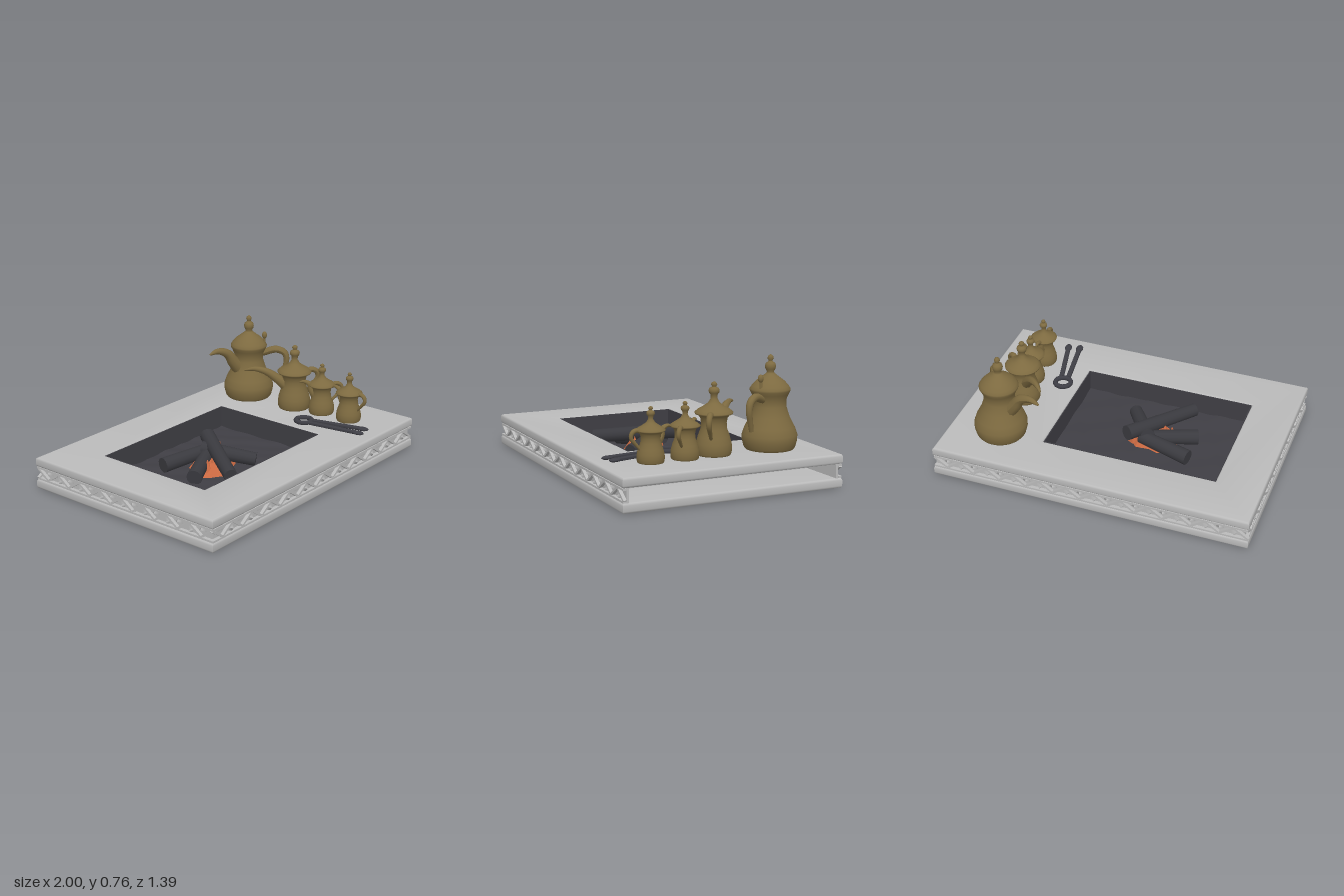
import * as THREE from 'three';
import { mergeGeometries, toCreasedNormals } from 'three/addons/utils/BufferGeometryUtils.js';
import { RoundedBoxGeometry } from 'three/addons/geometries/RoundedBoxGeometry.js';

const material = (name, color, extra = {}) => Object.assign(new THREE.MeshStandardMaterial({ color, ...extra }), { name });
const V = (x, y, z) => new THREE.Vector3(x, y, z);
const PIT = { x0: -0.71, x1: 0.39, z0: -0.4, z1: 0.39 };

export function createModel() {
  const stone = material('stone grey', 0xbababa);
  const soot = material('soot', 0x3f3e44, { side: THREE.DoubleSide });
  const ash = material('ash grey', 0x545456);
  const charcoal = material('charcoal', 0x3a3a3f);
  const ember = material('ember orange', 0xcc6a42, { flatShading: true });
  const brass = material('aged brass', 0x7d6a40, { side: THREE.DoubleSide });
  const iron = material('iron', 0x3e3e45);

  const model = new THREE.Group();
  const add = (parent, name, geometry, mat) => {
    const mesh = new THREE.Mesh(geometry, mat);
    mesh.name = name;
    parent.add(mesh);
    return mesh;
  };

  // Flat outline raised from y0 to y1 with a soft edge
  const slab = (points, y0, y1, bevel, hole = true) => {
    const shape = new THREE.Shape(points.map(([x, z]) => new THREE.Vector2(x, -z)));
    if (hole) {
      shape.holes.push(new THREE.Path([
        [PIT.x0, PIT.z0], [PIT.x0, PIT.z1], [PIT.x1, PIT.z1], [PIT.x1, PIT.z0],
      ].map(([x, z]) => new THREE.Vector2(x, -z))));
    }
    const geo = new THREE.ExtrudeGeometry(shape, {
      depth: y1 - y0 - 2 * bevel, bevelEnabled: bevel > 0, bevelThickness: bevel,
      bevelSize: bevel, bevelOffset: -bevel, bevelSegments: 3,
    });
    geo.rotateX(-Math.PI / 2).translate(0, y0 + bevel, 0);
    return toCreasedNormals(geo, 0.6);
  };
  const rect = (w, d) => [[-w, d], [w, d], [w, -d], [-w, -d]];

  // Hearth: two slabs around a core that is open on one end
  const hearth = new THREE.Group();
  hearth.name = 'hearth';
  model.add(hearth);
  add(hearth, 'lowerSlab', slab(rect(1, 0.695), 0.002, 0.062, 0.014), stone);
  add(hearth, 'upperSlab', slab(rect(1, 0.695), 0.144, 0.203, 0.014), stone);
  add(hearth, 'core', slab([
    [-0.97, 0.67], [0.992, 0.67], [0.992, 0.655], [0.7, 0.64],
    [0.7, -0.64], [0.992, -0.655], [0.992, -0.67], [-0.97, -0.67],
  ], 0.055, 0.15, 0), stone);

  // Carved band: zigzag ribs with small pyramids between two rails
  const carvedBand = (length) => {
    const parts = [];
    for (const y of [0.068, 0.138]) parts.push(new THREE.BoxGeometry(length, 0.012, 0.022).translate(0, y, 0));
    const count = Math.round(length / 0.085), step = length / count;
    const rib = Math.hypot(step, 0.06);
    for (let i = 0; i < count; i++) {
      const up = i % 2 ? 1 : -1, x = -length / 2 + step * (i + 0.5);
      parts.push(new THREE.BoxGeometry(rib, 0.013, 0.02).rotateZ(up * Math.atan2(0.06, step)).translate(x, 0.103, 0));
      if (i < count - 1) {
        const gem = new THREE.ConeGeometry(0.03, 0.024, 3).rotateX(Math.PI / 2).rotateZ(up > 0 ? 0 : Math.PI);
        parts.push(gem.translate(x + step / 2, 0.103 - up * 0.014, 0));
      }
    }
    return mergeGeometries(parts);
  };
  for (const s of [-1, 1]) {
    const side = add(hearth, s > 0 ? 'frontCarving' : 'backCarving', carvedBand(1.99), stone);
    side.position.z = s * 0.681;
    if (s < 0) side.rotation.y = Math.PI;
  }
  const end = add(hearth, 'endCarving', carvedBand(1.375), stone);
  end.position.x = -0.984;
  end.rotation.y = -Math.PI / 2;

  // Sooty fire pit: walls, bumpy floor, ragged patch underneath
  const pit = new THREE.Group();
  pit.name = 'firePit';
  model.add(pit);
  const w = PIT.x1 - PIT.x0, d = PIT.z1 - PIT.z0, cx = (PIT.x0 + PIT.x1) / 2, cz = (PIT.z0 + PIT.z1) / 2;
  for (const s of [-1, 1]) {
    add(pit, 'pitWall', new THREE.BoxGeometry(w, 0.194, 0.006).translate(cx, 0.101, cz + s * (d / 2 - 0.003)), soot);
    add(pit, 'pitWall', new THREE.BoxGeometry(0.006, 0.194, d).translate(cx + s * (w / 2 - 0.003), 0.101, cz), soot);
  }
  const floor = new THREE.PlaneGeometry(w, d, 40, 30).rotateX(-Math.PI / 2).translate(cx, 0.06, cz);
  const fp = floor.attributes.position;
  for (let i = 0; i < fp.count; i++) {
    const x = fp.getX(i), z = fp.getZ(i);
    fp.setY(i, 0.06 + 0.004 * Math.sin(17 * x + 5 * z) * Math.cos(19 * z - 4 * x) + 0.003 * Math.sin(41 * x - 23 * z));
  }
  floor.computeVertexNormals();
  add(pit, 'pitFloor', floor, soot);
  const ragged = [];
  for (let i = 0; i < 64; i++) {
    const a = -i / 64 * Math.PI * 2, c = Math.cos(a), s = Math.sin(a);
    const k = 1 / Math.pow(c ** 8 + s ** 8, 1 / 8);
    const wob = 1.05 + 0.025 * Math.sin(7 * a) + 0.02 * Math.sin(13 * a + 1) + 0.012 * Math.sin(23 * a);
    ragged.push([cx + c * k * wob * w / 2, cz + s * k * wob * d / 2]);
  }
  add(pit, 'undersidePatch', slab(ragged, 0, 0.006, 0, false), ash);

  // Crossed logs over embers
  const fire = new THREE.Group();
  fire.name = 'campfire';
  model.add(fire);
  const logs = [
    [V(-0.46, 0.12, -0.155), V(-0.13, 0.14, -0.075)],
    [V(-0.06, 0.195, -0.14), V(-0.36, 0.14, 0.295)],
    [V(-0.18, 0.16, -0.09), V(0, 0.105, 0.2)],
    [V(-0.45, 0.1, 0.085), V(-0.15, 0.13, -0.06)],
  ];
  for (const [a, b] of logs) {
    const geo = new THREE.CylinderGeometry(0.042, 0.048, a.distanceTo(b), 12, 4);
    const log = add(fire, 'log', geo, charcoal);
    log.position.copy(a).lerp(b, 0.5);
    log.quaternion.setFromUnitVectors(V(0, 1, 0), b.clone().sub(a).normalize());
  }
  const embers = new THREE.CylinderGeometry(0.1, 0.155, 0.07, 20, 2);
  const ep = embers.attributes.position;
  for (let i = 0; i < ep.count; i++) {
    const a = Math.atan2(ep.getZ(i), ep.getX(i)), k = 1 + 0.1 * Math.sin(5 * a) + 0.06 * Math.cos(3 * a);
    ep.setX(i, ep.getX(i) * k);
    ep.setZ(i, ep.getZ(i) * k * 0.82);
  }
  add(fire, 'embers', embers, ember).position.set(-0.19, 0.092, 0.02);
  for (const [x, z, h] of [[-0.29, 0.055, 0.1], [-0.16, 0.1, 0.1], [-0.07, -0.03, 0.13], [-0.065, 0.01, 0.11], [-0.24, 0.06, 0.12]]) {
    add(fire, 'flame', new THREE.ConeGeometry(0.04, h, 6), ember).position.set(x, 0.06 + h / 2, z);
  }

  // Tube whose thickness follows a rule along its path
  const taperedTube = (points, radius) => {
    const curve = new THREE.CatmullRomCurve3(points.map(([x, y]) => V(x, y, 0)));
    const rows = 24, sides = 10, geo = new THREE.TubeGeometry(curve, rows, 1, sides);
    const p = geo.attributes.position, v = V(0, 0, 0);
    for (let i = 0; i < p.count; i++) {
      const t = Math.floor(i / (sides + 1)) / rows, c = curve.getPointAt(t);
      v.fromBufferAttribute(p, i).sub(c).multiplyScalar(radius(t)).add(c);
      p.setXYZ(i, v.x, v.y, v.z);
    }
    geo.computeVertexNormals();
    return geo;
  };

  // Coffee pots, drawn one unit tall and scaled
  const finial = (k) => [[0.036, 0.82], [0.052, 0.845], [0.058, 0.875], [0.05, 0.905], [0.022, 0.925], [0.022, 0.935],
    [0.033, 0.955], [0.026, 0.98], [0, 1]].map(([r, y]) => [r * k, y]);
  const wide = [[0, 0], [0.25, 0], [0.272, 0.03], [0.29, 0.1], [0.29, 0.16], [0.262, 0.24], [0.205, 0.35], [0.17, 0.46], [0.172, 0.53],
    [0.195, 0.585], [0.213, 0.62], [0.213, 0.64], [0.195, 0.67], [0.15, 0.72], [0.09, 0.765], [0.045, 0.8], ...finial(1)];
  const slim = [[0, 0], [0.225, 0], [0.24, 0.03], [0.248, 0.1], [0.24, 0.17], [0.215, 0.26], [0.18, 0.36], [0.172, 0.44], [0.185, 0.51],
    [0.215, 0.55], [0.255, 0.565], [0.26, 0.585], [0.22, 0.62], [0.15, 0.66], [0.08, 0.71], [0.045, 0.77], ...finial(1.3)];
  const turn = ([x, z]) => Math.atan2(-z, x);
  const pots = [
    { x: 0.67, z: -0.395, h: 0.562, profile: wide, spout: [-0.3, -0.09], reach: 0.55, handle: [0.14, 0.22], grip: 0.45, foot: 0.4 },
    { x: 0.68, z: -0.02, h: 0.43, profile: slim, spout: [-0.22, -0.24], reach: 0.76, handle: [0.13, 0.1], grip: 0.37, foot: 0.2 },
    { x: 0.71, z: 0.18, h: 0.337, profile: slim, spout: [-0.085, -0.115], reach: 0.43, handle: [0.1, 0.09], grip: 0.39, foot: 0.2 },
    { x: 0.71, z: 0.395, h: 0.325, profile: slim, spout: [0, -1], reach: 0.4, handle: [0, 1], grip: 0.37, foot: 0.2 },
  ];
  for (const p of pots) {
    const pot = new THREE.Group();
    pot.name = 'coffeePot';
    pot.position.set(p.x, 0.2, p.z);
    pot.scale.setScalar(p.h);
    model.add(pot);
    const outline = p.profile.map(([r, y]) => new THREE.Vector2(r, y));
    add(pot, 'potBody', new THREE.LatheGeometry(outline, 36), brass);
    const r = p.reach;
    // Beak-shaped spout that arches out and droops at the tip
    add(pot, 'spout', taperedTube(
      [[0.12, 0.34], [0.13 + r * 0.16, 0.46], [r * 0.55, 0.575], [r * 0.8, 0.63], [r, 0.61]],
      (t) => 0.01 + 0.075 * Math.pow(1 - t, 0.7),
    ), brass).rotation.y = turn(p.spout);
    const g = p.grip;
    add(pot, 'handle', taperedTube(
      [[0.14, 0.53], [g * 0.72, 0.59], [g * 0.95, 0.55], [g, 0.46], [(g + p.foot) / 2, 0.35], [p.foot, 0.25]],
      (t) => 0.024 + 0.018 * Math.sin(Math.PI * Math.sqrt(t)),
    ), brass).rotation.y = turn(p.handle);
  }
  // Thumb piece on the largest pot
  add(model, 'thumbPiece', new THREE.CylinderGeometry(0.008, 0.012, 0.08, 10).translate(0.72, 0.58, -0.305), brass);
  add(model, 'thumbKnob', new THREE.SphereGeometry(0.017, 14, 10).scale(1, 1.4, 1).translate(0.72, 0.63, -0.302), brass);

  // Fire tongs lying on the slab
  const tongs = new THREE.Group();
  tongs.name = 'fireTongs';
  model.add(tongs);
  add(tongs, 'tongsRing', new THREE.TorusGeometry(0.05, 0.016, 8, 24).rotateX(Math.PI / 2).translate(0.5, 0.213, 0.195), iron);
  for (const [x0, x1, z1] of [[0.485, 0.54, 0.595], [0.53, 0.615, 0.58]]) {
    const len = Math.hypot(x1 - x0, z1 - 0.24);
    const leg = new THREE.Group();
    leg.name = 'tongsLeg';
    leg.position.set(x0, 0.212, 0.24);
    leg.rotation.y = Math.atan2(x1 - x0, z1 - 0.24);
    tongs.add(leg);
    add(leg, 'legBar', new RoundedBoxGeometry(0.03, 0.02, len, 2, 0.006).translate(0, 0, len / 2), iron);
    add(leg, 'legTip', new THREE.SphereGeometry(1, 14, 8).scale(0.024, 0.012, 0.04).translate(0, 0, len - 0.01), iron);
  }
  return model;
}
